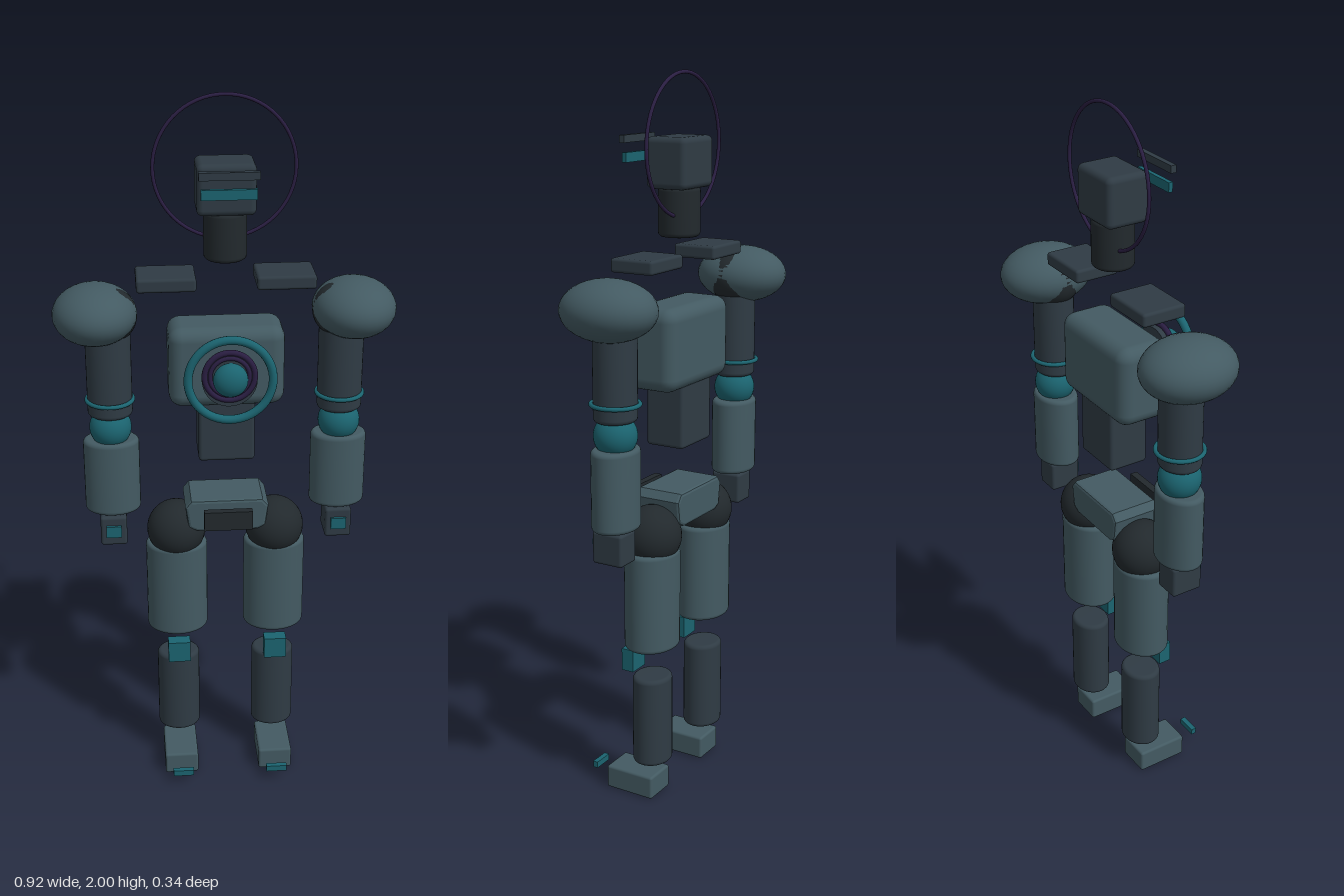
import * as THREE from 'three';
import { RoundedBoxGeometry } from 'three/addons/geometries/RoundedBoxGeometry.js';

const mat = (color) => new THREE.MeshStandardMaterial({ color });
const armor = mat(0x435a62), frame = mat(0x2f3b44), joint = mat(0x22292d);
const teal = mat(0x1b6470), violet = mat(0x2a1e42);
const Z = -0.042; // depth of the body's central plane

export function createModel() {
  const model = new THREE.Group();

  const add = (parent, name, geometry, material, x, y, z) => {
    const mesh = new THREE.Mesh(geometry, material);
    mesh.name = name;
    mesh.position.set(x, y, z);
    parent.add(mesh);
    return mesh;
  };
  const box = (parent, name, material, x, y, z, w, h, d, r = 0) =>
    add(parent, name, r ? new RoundedBoxGeometry(w, h, d, 3, r) : new THREE.BoxGeometry(w, h, d), material, x, y, z);
  const ball = (parent, name, material, x, y, z, rx, ry = rx, rz = rx) =>
    add(parent, name, new THREE.SphereGeometry(1, 32, 20).scale(rx, ry, rz), material, x, y, z);
  const ring = (parent, name, material, x, y, z, r, tube) =>
    add(parent, name, new THREE.TorusGeometry(r, tube, 12, 64), material, x, y, z);

  // Oval limb segment with softly rounded rims, from y0 up to y1
  const limb = (parent, name, material, x, y0, y1, width, depth) => {
    const h = y1 - y0, b = 0.012, k = b / (width / 2);
    const pts = [new THREE.Vector2(0, 0)];
    for (let i = 0; i <= 4; i++) {
      const a = (i / 4) * Math.PI / 2;
      pts.push(new THREE.Vector2(1 - k + k * Math.sin(a), b - b * Math.cos(a)));
    }
    for (let i = 0; i <= 4; i++) {
      const a = (i / 4) * Math.PI / 2;
      pts.push(new THREE.Vector2(1 - k + k * Math.cos(a), h - b + b * Math.sin(a)));
    }
    pts.push(new THREE.Vector2(0, h));
    const g = new THREE.LatheGeometry(pts, 32).scale(width / 2, 1, depth / 2);
    return add(parent, name, g, material, x, y0, Z);
  };

  // Head, floating face plates and halo
  const head = new THREE.Group();
  head.name = 'head';
  model.add(head);
  box(head, 'skull', frame, 0, 1.767, -0.043, 0.154, 0.134, 0.12, 0.016);
  box(head, 'brow', frame, 0, 1.825, 0.088, 0.154, 0.02, 0.016);
  box(head, 'visor', teal, 0, 1.777, 0.084, 0.142, 0.026, 0.012);
  limb(head, 'neck', joint, 0, 1.573, 1.705, 0.114, 0.112);
  ring(head, 'halo', violet, 0, 1.81, -0.056, 0.185, 0.005);

  // Torso
  const torso = new THREE.Group();
  torso.name = 'torso';
  model.add(torso);
  box(torso, 'chest', armor, 0, 1.289, -0.039, 0.312, 0.224, 0.152, 0.036);
  box(torso, 'abdomen', frame, 0, 1.11, Z, 0.154, 0.2, 0.115, 0.01);

  // Chest core: backing disc, rings and glowing dome
  const core = new THREE.Group();
  core.name = 'chestCore';
  model.add(core);
  add(core, 'coreDisc', new THREE.CylinderGeometry(0.073, 0.073, 0.026, 48).rotateX(Math.PI / 2), frame, 0, 1.289, 0.098);
  ring(core, 'innerRing', violet, 0, 1.3, 0.108, 0.066, 0.008);
  ring(core, 'middleRing', violet, 0, 1.3, 0.112, 0.052, 0.006);
  ring(core, 'outerRing', teal, 0, 1.3, 0.135, 0.111, 0.0115);
  ball(core, 'coreDome', teal, 0, 1.3, 0.134, 0.046, 0.046, 0.033);

  // Pelvis, tapering downwards
  const outline = new THREE.Shape();
  outline.moveTo(-0.085, 0.798);
  outline.lineTo(0.085, 0.798);
  outline.lineTo(0.108, 0.81);
  outline.lineTo(0.117, 0.872);
  outline.lineTo(0.1, 0.893);
  outline.lineTo(-0.1, 0.893);
  outline.lineTo(-0.117, 0.872);
  outline.lineTo(-0.108, 0.81);
  outline.closePath();
  const pelvis = new THREE.ExtrudeGeometry(outline, {
    depth: 0.124, bevelThickness: 0.008, bevelSize: 0.008, bevelOffset: -0.008, bevelSegments: 2,
  });
  add(model, 'pelvis', pelvis, armor, 0, 0, -0.104);
  box(model, 'pelvisPlate', joint, 0, 0.853, 0.066, 0.134, 0.056, 0.021);

  // Arms and legs, one pass per side
  for (const [side, s] of [['left', 1], ['right', -1]]) {
    box(model, side + 'CollarPlate', frame, s * 0.158, 1.521, -0.04, 0.157, 0.037, 0.126, 0.008);

    const arm = new THREE.Group();
    arm.name = side + 'Arm';
    model.add(arm);
    ball(arm, 'shoulderPad', armor, s * 0.347, 1.428, -0.045, 0.113, 0.08, 0.13);
    ball(arm, 'shoulderJoint', joint, s * 0.309, 1.424, Z, 0.075);
    limb(arm, 'upperArm', frame, s * 0.315, 1.138, 1.42, 0.123, 0.112);
    const band = ring(arm, 'armBand', teal, s * 0.315, 1.183, Z, 0.063, 0.006);
    band.rotation.x = Math.PI / 2;
    ball(arm, 'elbow', teal, s * 0.316, 1.1, Z, 0.058);
    limb(arm, 'forearm', armor, s * 0.316, 0.85, 1.067, 0.155, 0.118);
    box(arm, 'hand', frame, s * 0.317, 0.799, -0.035, 0.074, 0.088, 0.09, 0.008);
    box(arm, 'handPanel', teal, s * 0.317, 0.8, 0.012, 0.043, 0.034, 0.012);

    const leg = new THREE.Group();
    leg.name = side + 'Leg';
    model.add(leg);
    ball(leg, 'hipJoint', joint, s * 0.14, 0.778, -0.04, 0.083);
    limb(leg, 'thigh', armor, s * 0.14, 0.458, 0.74, 0.175, 0.145);
    box(leg, 'knee', teal, s * 0.14, 0.405, 0.021, 0.064, 0.064, 0.037);
    limb(leg, 'shin', frame, s * 0.14, 0.108, 0.368, 0.123, 0.106);
    box(leg, 'foot', armor, s * 0.14, 0.037, 0.008, 0.098, 0.067, 0.15, 0.007);
    box(leg, 'toeLight', teal, s * 0.138, 0.048, 0.137, 0.06, 0.018, 0.015);
  }
  return model;
}
